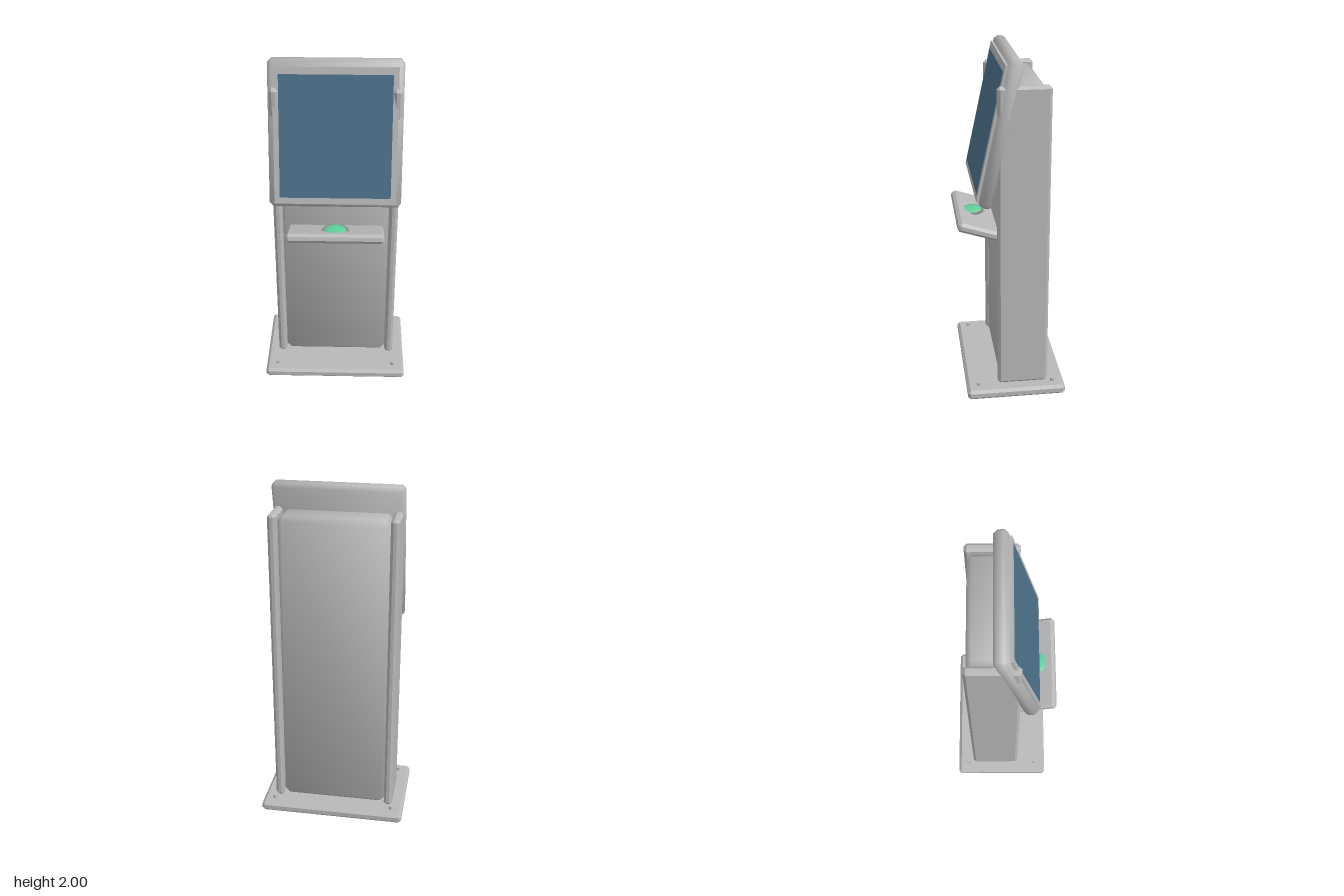
import * as THREE from 'three';
import { ConvexGeometry } from 'three/addons/geometries/ConvexGeometry.js';

const material = (name, color) => {
  const m = new THREE.MeshStandardMaterial({ color });
  m.name = name;
  return m;
};

// Box with chamfered edges; smooth = normals blended across the chamfers
function chamferBox(w, h, d, bevel, smooth = false) {
  const half = [w / 2, h / 2, d / 2];
  const points = [];
  for (let axis = 0; axis < 3; axis++)
    for (const sx of [-1, 1]) for (const sy of [-1, 1]) for (const sz of [-1, 1]) {
      const p = [sx, sy, sz].map((s, i) => s * (half[i] - (i === axis ? 0 : bevel)));
      points.push(new THREE.Vector3(...p));
    }
  const geo = new ConvexGeometry(points);
  if (smooth) {
    const pos = geo.attributes.position, nor = geo.attributes.normal;
    for (let i = 0; i < pos.count; i++) {
      const n = [pos.getX(i), pos.getY(i), pos.getZ(i)].map((v, k) =>
        Math.sign(v) * (Math.abs(v) > half[k] - bevel / 2 ? 1 : 0.43));
      const v = new THREE.Vector3(...n).normalize();
      nor.setXYZ(i, v.x, v.y, v.z);
    }
  }
  return geo;
}

export function createModel() {
  const grey = material('casing grey', 0xb8b8b8);
  const darkGrey = material('ring grey', 0x8c8c8c);
  const blue = material('screen blue', 0x4b7089);
  const green = material('button green', 0x5fcf98);

  const model = new THREE.Group();
  model.name = 'kiosk';
  const add = (name, geo, mat, x, y, z, parent = model) => {
    const mesh = new THREE.Mesh(geo, mat);
    mesh.name = name;
    mesh.position.set(x, y, z);
    parent.add(mesh);
    return mesh;
  };

  // Base plate and its hex bolts
  add('basePlate', chamferBox(0.86, 0.058, 0.58, 0.016), grey, 0, 0.029, -0.02);
  const bolt = new THREE.CylinderGeometry(0.012, 0.013, 0.02, 6).toNonIndexed();
  bolt.computeVertexNormals();
  for (const x of [-0.36, 0.36])
    for (const z of [-0.24, 0.2]) add('baseBolt', bolt, grey, x, 0.066, z);

  // Column body between two side panels
  add('columnBody', chamferBox(0.62, 1.78, 0.265, 0.028, true), grey, 0, 0.95, -0.0625);
  const panel = chamferBox(0.05, 1.797, 0.295, 0.016);
  for (const s of [-1, 1]) add('sidePanel', panel, grey, s * 0.337, 0.9565, -0.0625);

  // Tilted display: housing, raised bezel and screen
  const display = new THREE.Group();
  display.name = 'display';
  display.position.set(0, 1.587, 0.065);
  display.rotation.x = -0.213;
  model.add(display);
  add('displayHousing', chamferBox(0.742, 0.832, 0.08, 0.022, true), grey, 0, 0, 0, display);
  add('displayBezel', new THREE.BoxGeometry(0.68, 0.766, 0.035), grey, 0, -0.007, 0.0365, display);
  add('screen', new THREE.BoxGeometry(0.62, 0.69, 0.006), blue, 0, -0.009, 0.0545, display);

  // Sloping shelf, higher at the front
  const shelf = add('shelf', chamferBox(0.56, 0.054, 0.31, 0.016), grey, 0, 0.998, 0.15);
  shelf.rotation.x = -0.31;

  // Level button, partly sunk into the shelf
  add('buttonRing', new THREE.CylinderGeometry(0.08, 0.08, 0.01, 32), darkGrey, 0, 1.04, 0.205);
  const dome = new THREE.SphereGeometry(0.062, 32, 10, 0, Math.PI * 2, 0, Math.PI / 2);
  dome.scale(1, 0.24, 1);
  add('buttonDome', dome, green, 0, 1.044, 0.2);

  return model;
}
